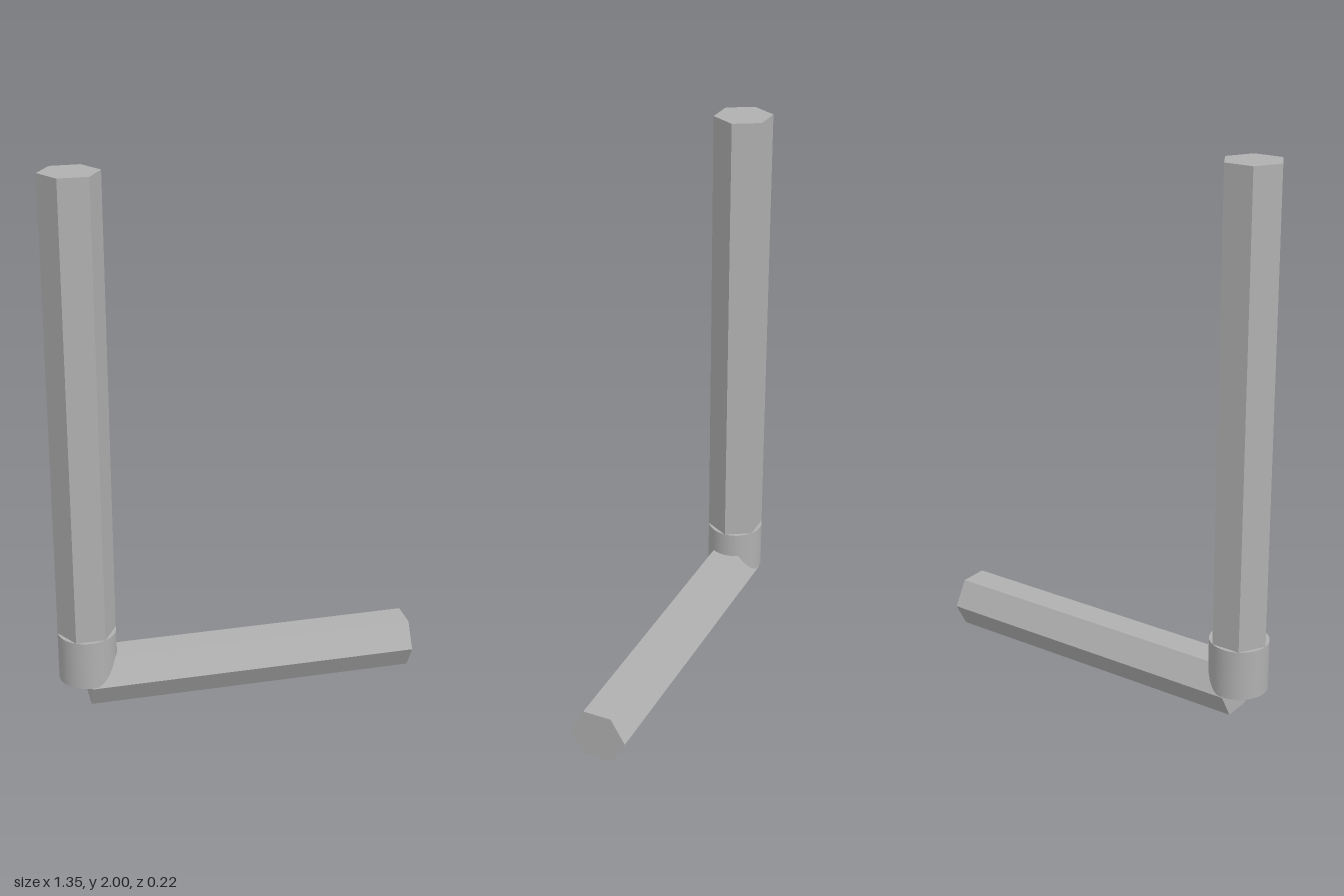
import * as THREE from 'three';

const R = 0.108;                          // corner radius of the bar
const HALF_FLAT = R * Math.cos(Math.PI / 6);
const CORNER_X = -0.673 + R;              // axis of the long arm
const END_X = 0.673;

// Hexagonal bar along y with crisp facets
function hexBar(length, turn) {
  const g = new THREE.CylinderGeometry(R, R, length, 6, 1, false, turn).toNonIndexed();
  g.computeVertexNormals();
  return g;
}

export function createModel() {
  const group = new THREE.Group();
  group.name = 'hexKey';
  const steel = new THREE.MeshStandardMaterial({ color: 0xb0b0b0 });
  steel.name = 'steel grey';

  function add(name, geometry, x, y) {
    const mesh = new THREE.Mesh(geometry, steel);
    mesh.name = name;
    mesh.position.set(x, y, 0);
    group.add(mesh);
  }

  // Upright arm, corners pointing along x
  const bottom = 0.15, top = 2;
  add('longArm', hexBar(top - bottom, Math.PI / 6), CORNER_X, (top + bottom) / 2);

  // Flat arm, corners pointing along z, lying on a flat
  const flat = hexBar(END_X - CORNER_X, 0).rotateZ(-Math.PI / 2);
  add('shortArm', flat, (END_X + CORNER_X) / 2, HALF_FLAT);

  // Round sleeve at the bend
  const sleeveTop = 0.285, sleeveBottom = 0.097;
  add('cornerSleeve',
    new THREE.CylinderGeometry(R, R, sleeveTop - sleeveBottom, 48),
    CORNER_X, (sleeveTop + sleeveBottom) / 2);

  return group;
}
